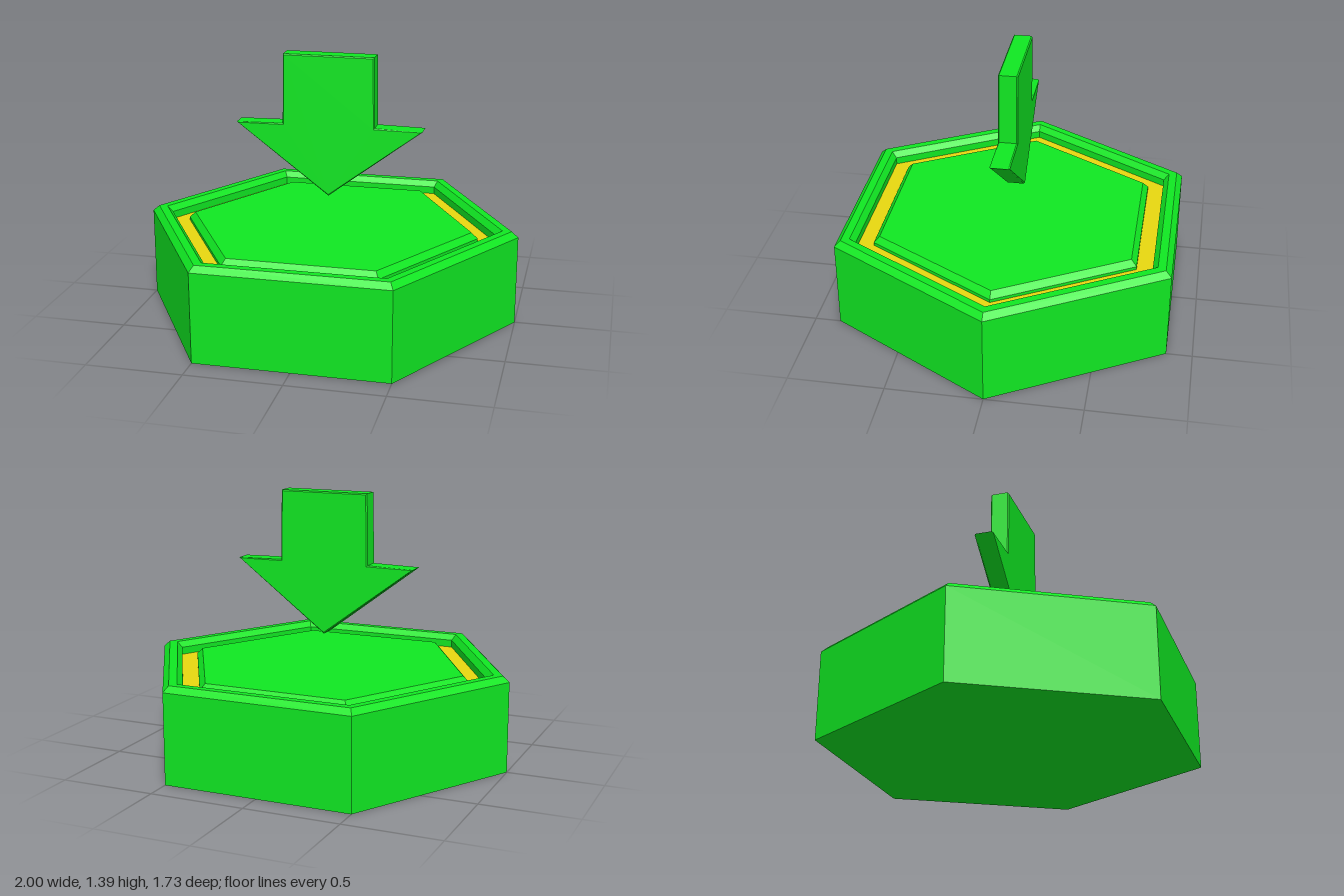
import * as THREE from 'three';

const green = new THREE.MeshStandardMaterial({ color: 0x10e822, flatShading: true });
const yellow = new THREE.MeshStandardMaterial({ color: 0xe8d810, flatShading: true });

// Six-sided ring or solid from a [radius, height] profile, corners on the x axis
function hexLathe(name, profile, material) {
  const points = profile.map(([r, y]) => new THREE.Vector2(r, y));
  const mesh = new THREE.Mesh(new THREE.LatheGeometry(points, 6, Math.PI / 2), material);
  mesh.name = name;
  return mesh;
}

export function createModel() {
  const group = new THREE.Group();
  group.name = 'hexagonMarker';

  const floorY = 0.435;

  // Outer body with a bevelled rim
  group.add(hexLathe('base', [
    [0, 0], [1, 0], [1, 0.475], [0.965, 0.505],
    [0.917, 0.505], [0.886, 0.475], [0.886, floorY],
  ], green));

  // Sunken band between the rim and the middle plate
  group.add(hexLathe('band', [[0.886, floorY], [0.79, floorY]], yellow));

  // Raised middle plate
  group.add(hexLathe('plate', [
    [0.79, floorY], [0.79, 0.452], [0.757, 0.483], [0, 0.483],
  ], green));

  // Floating arrow pointing down
  const outline = [
    [0, 0.645], [0.495, 1.02], [0.245, 1.025], [0.24, 1.395],
    [-0.24, 1.395], [-0.245, 1.025], [-0.495, 1.02],
  ].map(([x, y]) => new THREE.Vector2(x, y));
  const bevel = 0.006;
  const arrowGeometry = new THREE.ExtrudeGeometry(new THREE.Shape(outline), {
    depth: 0.1 - 2 * bevel,
    bevelThickness: bevel,
    bevelSize: bevel,
    bevelOffset: -bevel,
    bevelSegments: 1,
  });
  arrowGeometry.translate(0, 0, bevel - 0.05);
  const arrow = new THREE.Mesh(arrowGeometry, green);
  arrow.name = 'arrow';
  group.add(arrow);

  return group;
}
